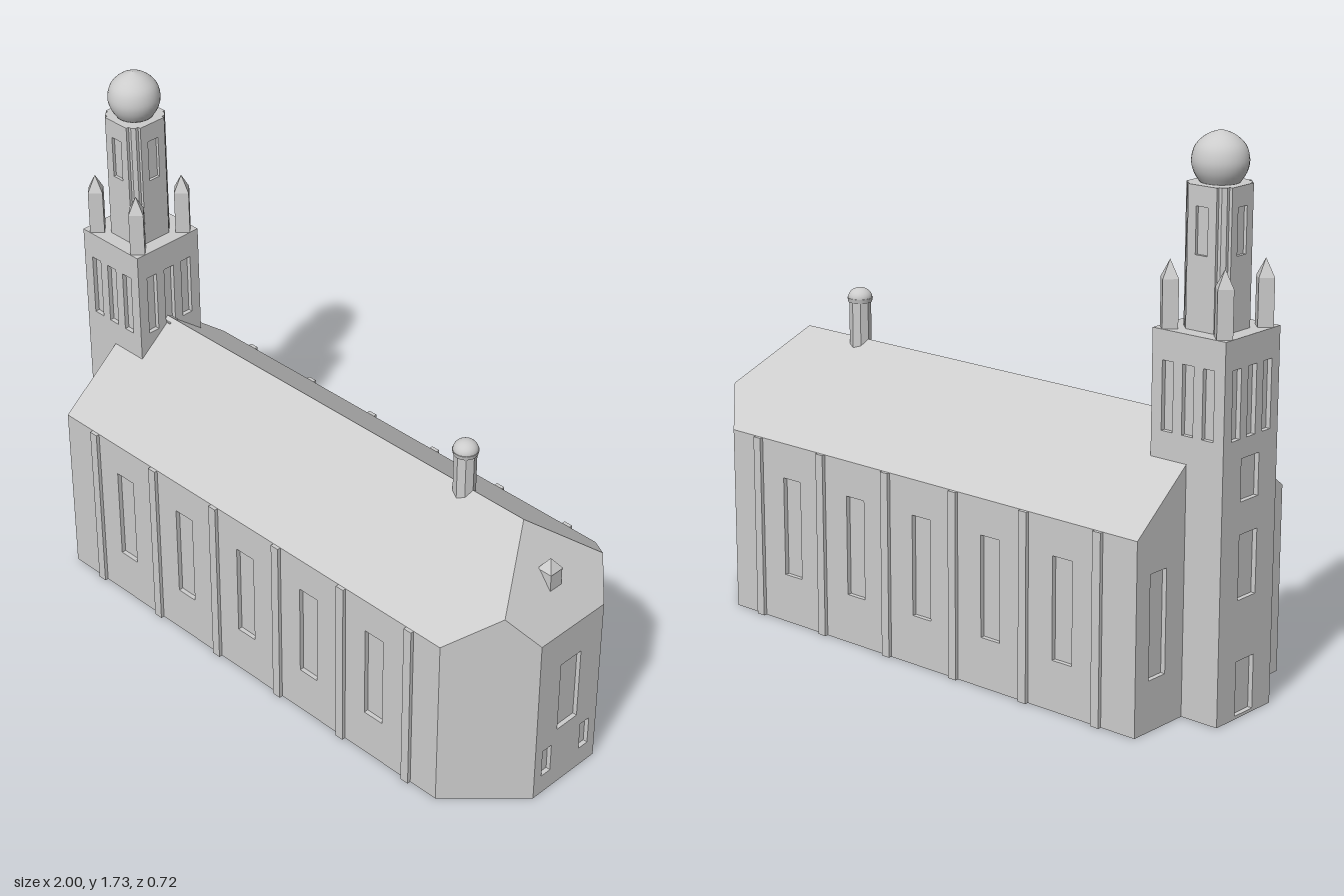
import * as THREE from 'three';
import { ConvexGeometry } from 'three/addons/geometries/ConvexGeometry.js';

const stone = new THREE.MeshStandardMaterial({ color: 0xcccccc });
stone.name = 'pale stone';
const DEPTH = 0.015; // window recess

function add(parent, name, geometry, x = 0, y = 0, z = 0, ry = 0) {
  const mesh = new THREE.Mesh(geometry, stone);
  mesh.name = name;
  mesh.position.set(x, y, z);
  mesh.rotation.y = ry;
  parent.add(mesh);
  return mesh;
}

const flat = (geometry) => {
  const g = geometry.toNonIndexed();
  g.computeVertexNormals();
  return g;
};

// Wall slab with rectangular openings [centreX, bottom, top, width], standing on y = 0
function panel(w, h, holes, depth = DEPTH) {
  const rect = (C, x0, y0, x1, y1) => {
    const p = new C();
    p.moveTo(x0, y0).lineTo(x1, y0).lineTo(x1, y1).lineTo(x0, y1).closePath();
    return p;
  };
  const shape = rect(THREE.Shape, -w / 2, 0, w / 2, h);
  for (const [cx, y0, y1, hw] of holes) {
    shape.holes.push(rect(THREE.Path, cx - hw / 2, y0, cx + hw / 2, y1));
  }
  return new THREE.ExtrudeGeometry(shape, { depth, bevelEnabled: false });
}

// Upright prism around a convex plan of [x, z] points
function prism(plan, y0, y1) {
  return new ConvexGeometry(plan.flatMap(([x, z]) => [new THREE.Vector3(x, y0, z), new THREE.Vector3(x, y1, z)]));
}

function nave() {
  const g = new THREE.Group();
  g.name = 'nave';
  const d = DEPTH, L = -0.87, R = 0.79, W = 0.35, A = 0.14, H = 0.6;

  // Inner core forms the backs of the recessed windows
  add(g, 'naveCore', prism([[L + d, W - d], [L + d, d - W], [R + d, W - d], [R + d, d - W], [1 - d, A + d], [1 - d, -A - d]], 0, H));

  // Roof with a hipped end over the apse
  const roof = [];
  for (const s of [1, -1]) {
    for (const [x, y, z] of [[L, H, W], [R, H, W], [0.921, 0.705, 0.219], [1, H, A]]) {
      roof.push(new THREE.Vector3(x, y, z * s));
    }
  }
  roof.push(new THREE.Vector3(L, 0.88, 0), new THREE.Vector3(R, 0.88, 0));
  add(g, 'roof', new ConvexGeometry(roof));

  // Long walls, buttress strips and angled apse walls
  for (const s of [1, -1]) {
    const windows = [-0.595, -0.315, -0.035, 0.245, 0.525].map((x) => [(x + 0.04) * s, 0.16, 0.485, 0.075]);
    add(g, 'sideWall', panel(R - L, H, windows), -0.04, 0, s * (W - d), s > 0 ? 0 : Math.PI);
    for (let i = 0; i < 6; i++) {
      add(g, 'buttressStrip', new THREE.BoxGeometry(0.03, H, 0.024), -0.73 + i * 0.28, H / 2, s * W);
    }
    add(g, 'angledApseWall', prism([[R, s * W], [1, s * A], [1 - d, s * A], [R, s * (W - d)]], 0, H));
  }

  // End walls
  add(g, 'apseWall', panel(2 * A, H, [[0, 0.22, 0.475, 0.09], [-0.087, 0.07, 0.17, 0.04], [0.087, 0.07, 0.17, 0.04]]),
    1 - d, 0, 0, Math.PI / 2);
  add(g, 'towerEndWall', panel(2 * W, H, [[-0.25, 0.16, 0.485, 0.075], [0.25, 0.16, 0.485, 0.075]]),
    L + d, 0, 0, -Math.PI / 2);
  return g;
}

function tower() {
  const g = new THREE.Group();
  g.name = 'tower';
  g.position.x = -0.87;
  const half = 0.13, H = 1.16, d = DEPTH, inner = 2 * (half - d);

  add(g, 'towerCore', new THREE.BoxGeometry(inner, H, inner), 0, H / 2, 0);
  const belfry = [-0.073, 0, 0.073].map((x) => [x, 0.86, 1.07, 0.04]);
  const entrance = [[0, 0.01, 0.18, 0.085], [0, 0.37, 0.57, 0.085], [0, 0.67, 0.8, 0.085]];
  for (let i = 0; i < 4; i++) {
    const a = i * Math.PI / 2, sx = Math.sin(a), cz = Math.cos(a);
    // Square stage, with the entrance on the outer end
    add(g, 'towerWall', panel(2 * half, H, i === 3 ? [...belfry, ...entrance] : belfry),
      sx * (half - d), 0, cz * (half - d), a);
    // Upper lantern faces
    add(g, 'lanternWall', panel(0.1, 0.42, [[0, 0.22, 0.36, 0.042]], 0.01), sx * 0.071, H, cz * 0.071, a);
    // Corner pinnacles
    const px = (i < 2 ? 1 : -1) * 0.097, pz = (i % 2 ? 1 : -1) * 0.097;
    add(g, 'pinnacle', flat(new THREE.CylinderGeometry(0.033, 0.033, 0.155, 4)), px, 1.2275, pz);
    add(g, 'pinnacleCap', flat(new THREE.ConeGeometry(0.033, 0.055, 4)), px, 1.3325, pz);
  }
  const plan = [];
  for (const sx of [1, -1]) for (const sz of [1, -1]) plan.push([sx * 0.071, sz * 0.06], [sx * 0.06, sz * 0.071]);
  add(g, 'lanternCore', prism(plan, H, 1.58));

  // Onion dome
  const profile = new THREE.SplineCurve([[0.058, 1.58], [0.076, 1.61], [0.083, 1.645], [0.072, 1.685], [0.04, 1.715], [0, 1.73]]
    .map(([x, y]) => new THREE.Vector2(x, y)));
  const points = profile.getPoints(20).map((p) => new THREE.Vector2(Math.max(0, p.x), p.y));
  add(g, 'dome', new THREE.LatheGeometry([new THREE.Vector2(0, 1.58), ...points], 32));

  // Small block where the tower meets the ridge
  add(g, 'ridgeBlock', new THREE.BoxGeometry(0.03, 0.09, 0.035), 0.13, 0.825, 0);
  return g;
}

function roofTurret() {
  const g = new THREE.Group();
  g.name = 'roofTurret';
  g.position.x = 0.555;
  add(g, 'turretShaft', flat(new THREE.CylinderGeometry(0.035, 0.035, 0.16, 8)), 0, 0.93, 0);
  add(g, 'turretCornice', new THREE.CylinderGeometry(0.041, 0.038, 0.014, 24), 0, 1.007, 0);
  const dome = add(g, 'turretDome', new THREE.SphereGeometry(0.039, 24, 10, 0, Math.PI * 2, 0, Math.PI / 2), 0, 1.014, 0);
  dome.scale.y = 0.82;
  return g;
}

function apsePinnacle() {
  const g = new THREE.Group();
  g.name = 'apsePinnacle';
  g.position.x = 0.9;
  add(g, 'apsePinnacleShaft', new THREE.BoxGeometry(0.05, 0.075, 0.05), 0, 0.7225, 0);
  add(g, 'apsePinnacleCap', flat(new THREE.ConeGeometry(0.038, 0.037, 4)), 0, 0.7785, 0, Math.PI / 4);
  return g;
}

export function createModel() {
  const model = new THREE.Group();
  model.name = 'church';
  model.add(nave(), tower(), roofTurret(), apsePinnacle());
  return model;
}
